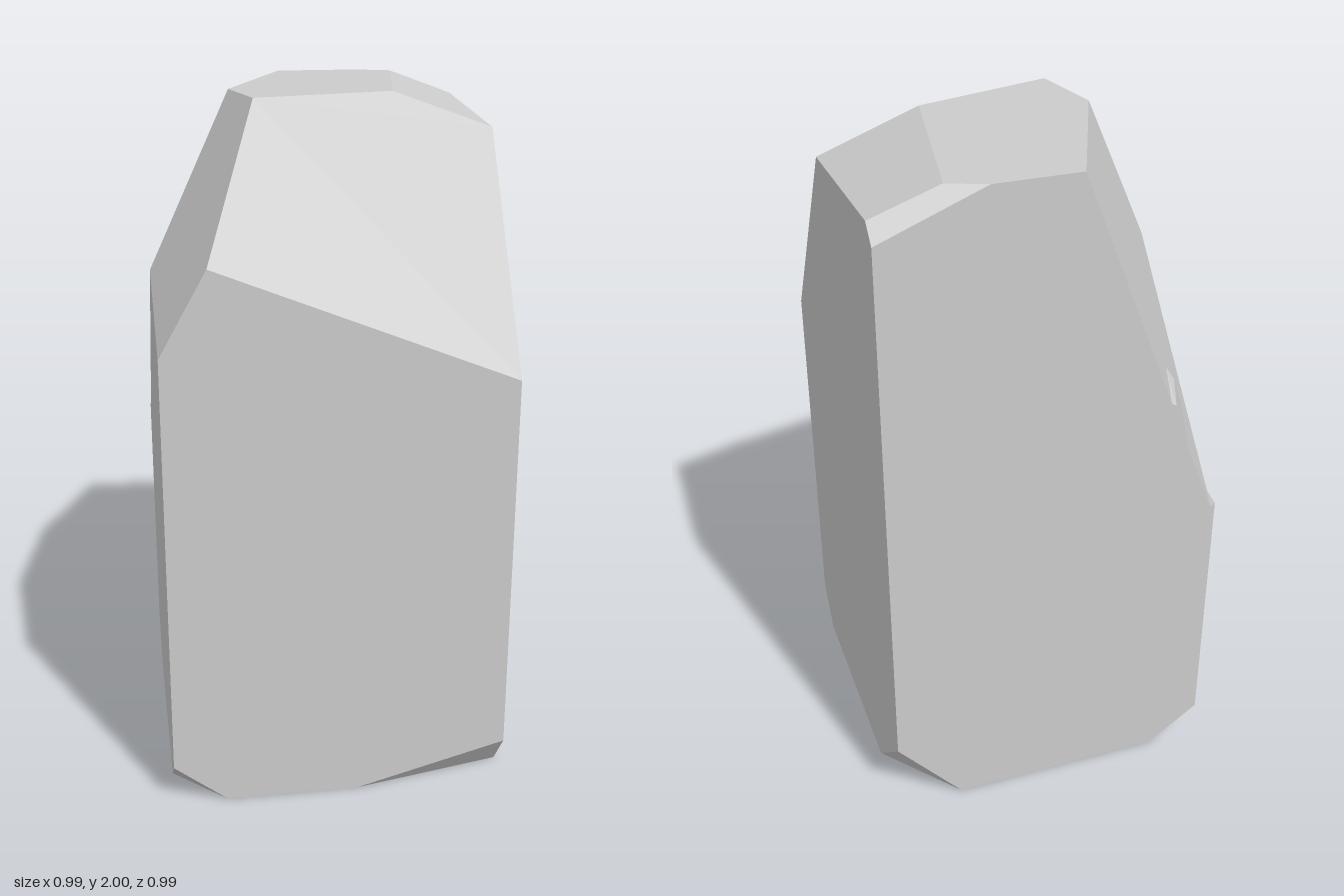
import * as THREE from 'three';
import { ConvexGeometry } from 'three/addons/geometries/ConvexGeometry.js';

const H = 0.495; // half width and depth

// Corner points of the solid where n.p <= d holds for every plane [nx, ny, nz, d]
function cornersOf(planes) {
  const points = [];
  const n = planes.length;
  for (let i = 0; i < n; i++) for (let j = i + 1; j < n; j++) for (let k = j + 1; k < n; k++) {
    const [a, b, c] = [planes[i], planes[j], planes[k]];
    const m = new THREE.Matrix3().set(a[0], a[1], a[2], b[0], b[1], b[2], c[0], c[1], c[2]);
    if (Math.abs(m.determinant()) < 1e-5) continue;
    const p = new THREE.Vector3(a[3], b[3], c[3]).applyMatrix3(m.invert());
    const inside = planes.every((q) => q[0] * p.x + q[1] * p.y + q[2] * p.z <= q[3] + 1e-6);
    if (inside && !points.some((o) => o.distanceTo(p) < 1e-4)) points.push(p);
  }
  return points;
}

// Plane that chips a bottom corner: reach along x, height, reach along z
function cornerChip(sx, sz, rx, ry, rz) {
  return [sx / rx, -1 / ry, sz / rz, H / rx + H / rz - 1];
}

export function createModel() {
  const group = new THREE.Group();
  group.name = 'cutStone';
  const material = new THREE.MeshStandardMaterial({ color: 0xcccccc, flatShading: true });

  const add = (name, points) => {
    const mesh = new THREE.Mesh(new ConvexGeometry(points), material);
    mesh.name = name;
    group.add(mesh);
  };

  // Main block: upright box with sloping cuts at the top and chipped bottom corners
  add('stoneBlock', cornersOf([
    [1, 0, 0, H], [-1, 0, 0, H], [0, 0, 1, H], [0, 0, -1, H],
    [0, 1, 0, 2], [0, -1, 0, 0],
    [0.4, 1, 1.55, 2.227],      // front slope
    [0.366, 1, 0.067, 2.08],    // shallow slope at +x
    [0.4, 1, -1, 2.573],        // small back corner cut
    [-1.78, 1, 0.39, 2.44],     // front slope at -x
    [-2.56, 1, -1.08, 2.664],   // long slope at -x
    cornerChip(1, 1, 0.445, 0.12, 0.095),
    cornerChip(-1, 1, 0.155, 0.12, 0.155),
    cornerChip(-1, -1, 0.155, 0.11, 0.155),
    cornerChip(1, -1, 0.195, 0.23, 0.235),
  ]));

  const v = (x, y, z) => new THREE.Vector3(x, y, z);

  // Small ledge standing out of the long slope
  add('slopeLedge', [
    v(-0.445, 1.169, -0.33), v(-0.37, 1.323, -0.365), v(-0.385, 1.294, -0.39),
    v(-0.33, 1.284, -H), v(-0.345, 1.274, -H), v(-0.39, 1.13, -H),
  ]);

  // Tiny step where the long slope meets the back corner
  add('cornerStep', [
    v(-H, 0.91, -H), v(-0.48, 0.9, -H), v(-H, 0.92, -0.44), v(-H, 0.85, -H),
  ]);

  return group;
}
